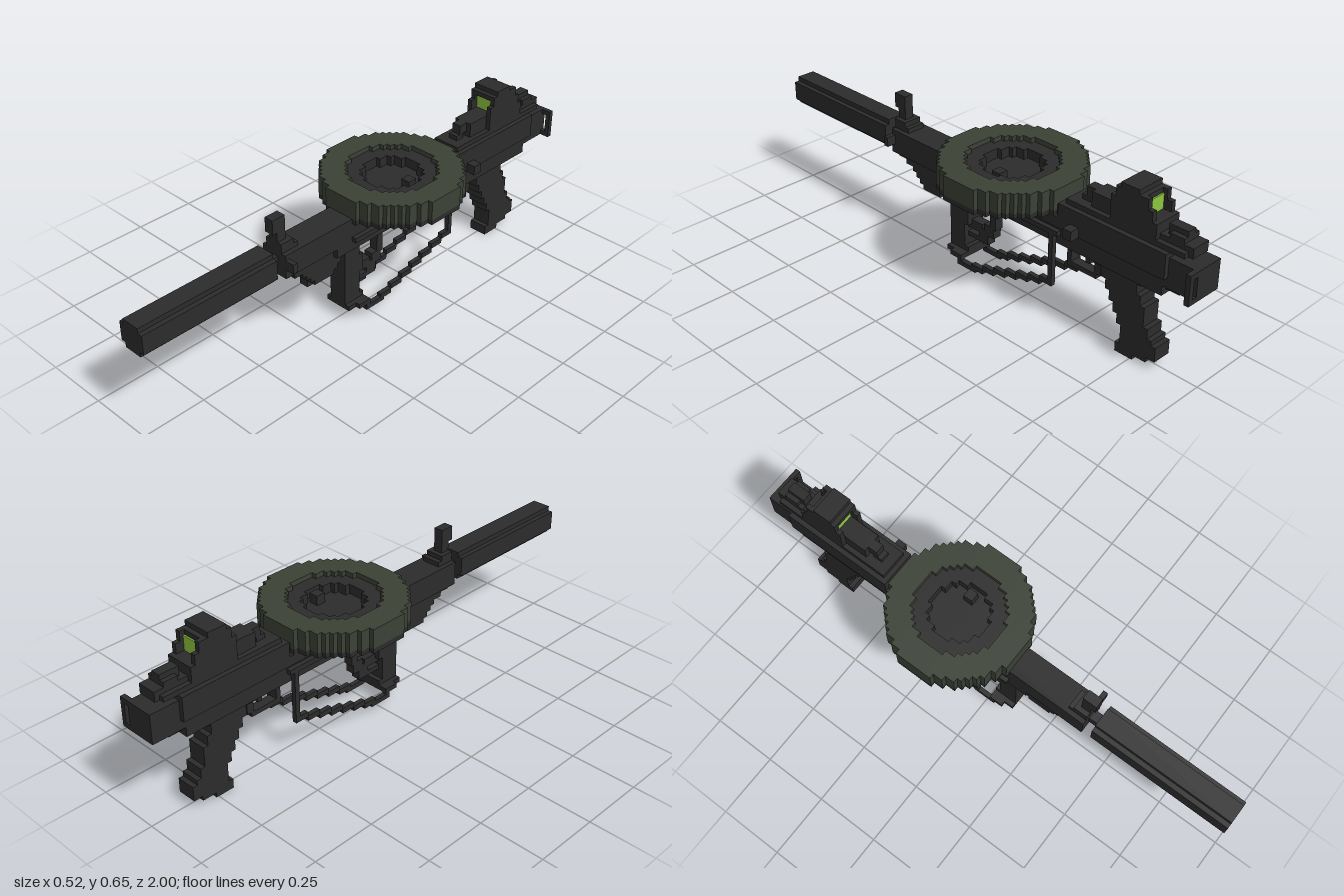
import * as THREE from 'three';
import { mergeGeometries } from 'three/addons/utils/BufferGeometryUtils.js';

const V = 1 / 54; // size of one block; all numbers below are in blocks

const dark = new THREE.MeshStandardMaterial({ name: 'darkMetal', color: 0x2c2c2d });
const olive = new THREE.MeshStandardMaterial({ name: 'oliveGreen', color: 0x3c4236 });
const lime = new THREE.MeshStandardMaterial({ name: 'limeLens', color: 0x8dc63f });

// Box between two corners
function box(x0, x1, y0, y1, z0, z1) {
  const g = new THREE.BoxGeometry((x1 - x0) * V, (y1 - y0) * V, (z1 - z0) * V);
  g.translate((x0 + x1) * V / 2, (y0 + y1) * V / 2, (z0 + z1) * V / 2);
  return g;
}
// Box centred on x
const mid = (w, y0, y1, z0, z1) => box(-w, w, y0, y1, z0, z1);
// The same box on both sides
const pair = (x0, x1, ...r) => [box(x0, x1, ...r), box(-x1, -x0, ...r)];

// Stepped disc or ring made of rows of blocks
function disc(ro, ri, y0, y1, cz) {
  const out = [];
  const half = (r, d) => (Math.abs(d) < r ? Math.round(Math.sqrt(r * r - d * d)) : 0);
  for (let i = -ro; i < ro; i++) {
    const o = half(ro, i + 0.5), n = half(ri, i + 0.5);
    if (n) out.push(...pair(n, o, y0, y1, cz + i, cz + i + 1));
    else out.push(mid(o, y0, y1, cz + i, cz + i + 1));
  }
  return out;
}

export function createModel() {
  const model = new THREE.Group();
  const add = (name, mat, parts) => {
    const m = new THREE.Mesh(mergeGeometries(parts), mat);
    m.name = name;
    model.add(m);
  };

  // Barrel with notched corners, and its neck
  add('barrel', dark, [mid(2, 19, 25, 24, 54), mid(3, 20, 24, 24, 54), mid(1, 21, 23, 22, 24)]);

  // Receiver, side rails and rear body
  add('receiver', dark, [
    mid(3, 19, 24, -54, 22), mid(2, 18, 24, -50, 21), mid(3, 17, 19, -47, 9),
    ...pair(3, 4, 21, 23, -24, -6), ...pair(3, 4, 19, 20, -24, 5),
    mid(4, 21, 26, -48, -24), mid(3, 24, 25, -54, -22), mid(3, 26, 27, -51, -25),
    mid(2, 24, 25, 18, 20), mid(1, 27, 28, -29, -27),
  ]);
  add('chargingHandle', dark, [box(3, 6, 21, 23, -29, -27)]);

  // Sling loops on the left side
  const loop = z => [
    box(3, 5, 24, 25, z, z + 1), box(4, 5, 19, 25, z, z + 1), box(3, 5, 19, 20, z, z + 1),
  ];
  add('rearSlingLoop', dark, loop(-54));
  add('frontSlingLoop', dark, [box(3, 5, 21, 23, 21, 22)]);

  // Front sight
  add('frontSight', dark, [mid(1, 24, 28, 20, 22), mid(1, 28, 31, 20, 23), mid(2, 24, 26, 19, 22)]);

  // Optical sight: hood open at front and back around the lens
  add('opticSight', dark, [
    mid(2, 26, 30, -35, -30), mid(1, 28, 30, -31, -28),
    mid(3, 26, 30, -45, -35), mid(2, 30, 33, -42, -37),
    ...pair(2, 3, 30, 32, -44, -35), ...pair(2, 3, 32, 34, -43, -36),
    mid(3, 33, 34, -42, -36), mid(3, 34, 35, -41, -37),
  ]);
  add('lens', lime, [mid(2, 30, 33, -37, -36.7), mid(2, 30, 33, -42.3, -42)]);
  add('rearSight', dark, [mid(2, 26, 28, -52, -45), mid(1, 28, 30, -50, -46), ...pair(1, 2, 28, 29, -50, -47)]);

  // Drum magazine
  const cz = -9;
  add('drumBase', dark, disc(14, 0, 23, 24, cz));
  add('drumRing', olive, disc(14, 9, 24, 28, cz));
  add('drumInnerRing', dark, disc(9, 6, 24, 27, cz));
  add('drumHub', dark, [...disc(6, 0, 24, 25, cz), box(3, 5, 25, 27, -10.5, -8.5)]);

  // Stepped fore end under the receiver
  const fore = [];
  [[21, 18], [19, 17], [17, 16], [16, 15], [15, 14], [14, 13]].forEach(([z, y]) =>
    fore.push(mid(2, y, y + 2, 6 + Math.max(0, 16 - y), z)));
  fore.push(mid(1, 12.5, 14, 11, 15));
  add('foreEnd', dark, fore);

  // Front grip with its hand loop
  add('frontGrip', dark, [
    mid(2, 4, 18, 2, 6), mid(2, 3, 5, 1, 6), mid(3, 3, 4, 3, 6), mid(2, 10, 14, 1, 5),
  ]);
  add('handLoop', dark, [
    mid(1, 16, 17.5, -6, 9), mid(1, 11, 17, -5.5, -4), mid(1, 9, 11.5, -5, -2.5),
    mid(1, 7, 10, -3.5, -1), mid(1, 7, 8, -3, 2), mid(1, 9, 11, -2, 2),
  ]);

  // Folding wire frame, one on each side
  const wire = [...pair(3, 4, 8, 20, -23, -22), ...pair(3, 4, 2, 4, 1, 2), ...pair(3, 4, 1.7, 2.7, -3, 2)];
  for (let i = 0; i < 7; i++) {
    const z = -2 - i * 3;
    wire.push(...pair(3, 4, 2.3 + i * 0.95, 3.4 + i * 0.95, z - 3, z));
  }
  wire.push(...pair(2, 4, 3, 4, 1, 4));
  add('wireFrame', dark, wire);

  // Trigger and guard
  add('triggerGuard', dark, [
    mid(1, 12, 17, -25, -24), mid(1, 12, 13, -31, -24), mid(1, 13, 18, -32, -30.5), mid(1, 16, 18, -32, -24),
  ]);
  add('trigger', dark, [mid(0.5, 14, 17, -29, -28)]);

  // Rear grip: slanted stack of rows [y0, y1, front z, back z]
  const grip = [
    [16, 19, -31, -42], [14, 16, -33, -41], [12, 14, -34, -42], [10, 12, -35, -43],
    [8, 10, -36, -43], [6, 8, -37, -44], [5, 6, -38, -45], [2, 5, -38, -46], [1, 2, -37, -44], [0, 1, -37, -41],
  ];
  add('rearGrip', dark, grip.map(([y0, y1, f, b]) => mid(2, y0, y1, b, f)));

  return model;
}
